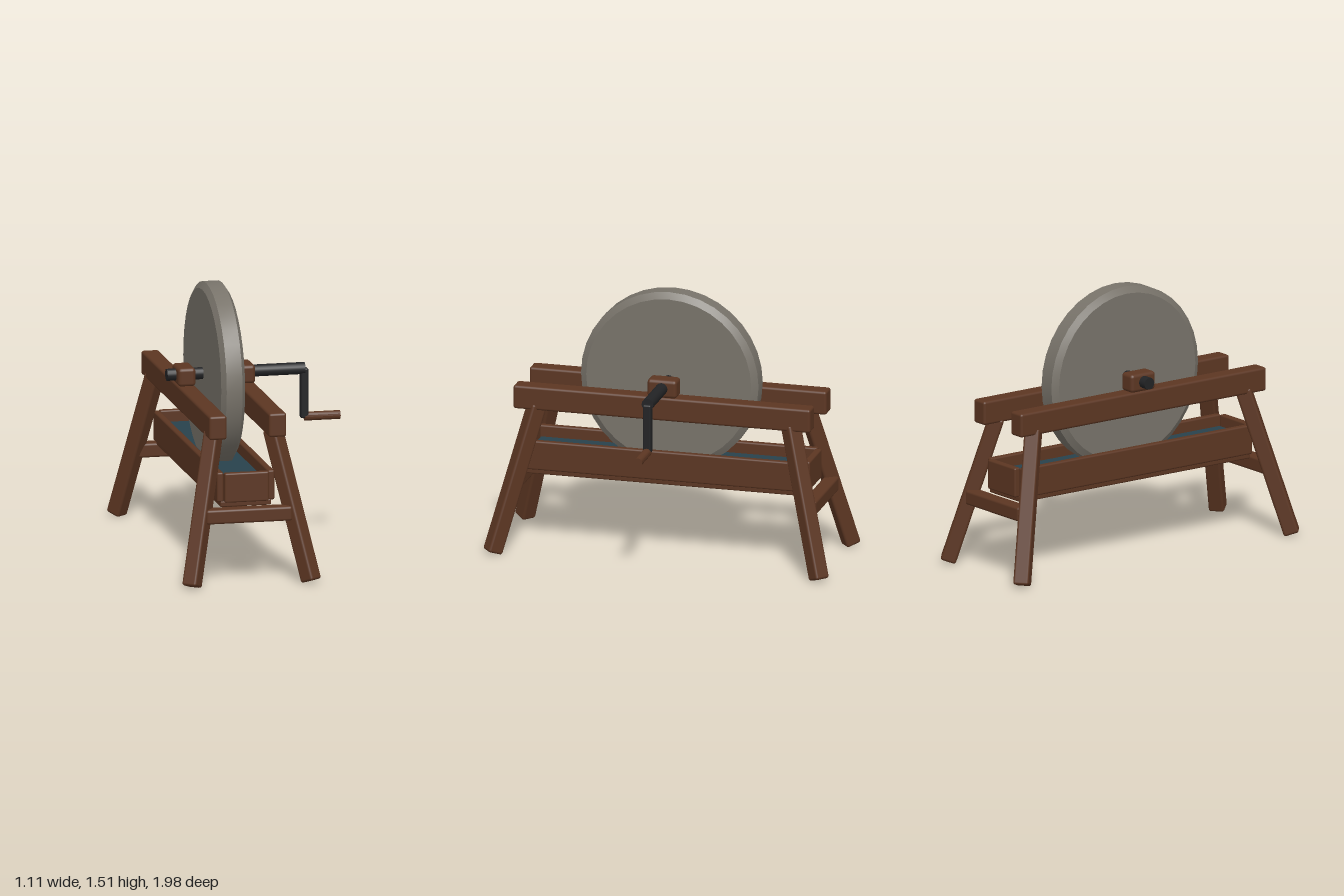
import * as THREE from 'three';
import { toCreasedNormals } from 'three/addons/utils/BufferGeometryUtils.js';
import { RoundedBoxGeometry } from 'three/addons/geometries/RoundedBoxGeometry.js';

const CX = -0.16; // centre line of the frame
const AXLE_Y = 1.007;

export function createModel() {
  const group = new THREE.Group();
  const material = (name, color) => {
    const m = new THREE.MeshStandardMaterial({ color });
    m.name = name;
    return m;
  };
  const wood = material('wood', 0x5c3622);
  const stone = material('stone', 0x78736a);
  const iron = material('iron', 0x222325);
  const water = material('water', 0x28424c);

  const add = (name, geometry, mat, x, y, z) => {
    const mesh = new THREE.Mesh(geometry, mat);
    mesh.name = name;
    mesh.position.set(x, y, z);
    group.add(mesh);
    return mesh;
  };
  // Softly bevelled timber
  const beam = (name, w, h, d, x, y, z, r = 0.014) =>
    add(name, new RoundedBoxGeometry(w, h, d, 2, r), wood, x, y, z);
  // Round bar lying along x
  const bar = (name, mat, r, x0, x1, y) => {
    const mesh = add(name, toCreasedNormals(new THREE.CylinderGeometry(r, r, x1 - x0, 16), 0.6), mat, (x0 + x1) / 2, y, 0);
    mesh.rotation.z = Math.PI / 2;
    return mesh;
  };

  // Grindstone: bevelled disc turned about the axle
  const profile = [[0, -0.068], [0.475, -0.068], [0.511, -0.045], [0.511, 0.045], [0.475, 0.068], [0, 0.068]]
    .map(([r, h]) => new THREE.Vector2(r, h));
  const wheel = add('grindstone', toCreasedNormals(new THREE.LatheGeometry(profile, 36), 0.5), stone, -0.158, AXLE_Y, 0);
  wheel.rotation.z = Math.PI / 2;

  // Axle, crank arm and handle
  bar('axle', iron, 0.034, -0.43, 0.355, AXLE_Y);
  beam('crankArm', 0.044, 0.285, 0.048, 0.353, 0.867, 0, 0.01).material = iron;
  bar('crankHandle', wood, 0.025, 0.355, 0.557, 0.732);

  for (const sx of [-1, 1]) {
    // Top rail with its bearing block
    beam('topRail', 0.1, 0.135, 1.71, CX + sx * 0.17, 0.887, 0);
    beam('bearingBlock', 0.1, 0.105, 0.17, CX + sx * 0.17, 1.004, 0, 0.02);
    // Trough side
    beam('troughSide', 0.038, 0.168, 1.6, CX + sx * 0.145, 0.537, 0, 0.01);

    // Splayed legs, square to their own direction of lean
    for (const sz of [-1, 1]) {
      const top = new THREE.Vector3(CX + sx * 0.168, 0.842, sz * 0.73);
      const foot = new THREE.Vector3(CX + sx * 0.34, 0.014, sz * 0.94);
      const up = top.clone().sub(foot);
      const length = up.length();
      up.normalize();
      const side = new THREE.Vector3(up.z, 0, -up.x).normalize();
      const out = side.clone().cross(up);
      const mid = top.add(foot).multiplyScalar(0.5);
      const leg = beam('leg', 0.088, length, 0.088, mid.x, mid.y, mid.z);
      leg.quaternion.setFromRotationMatrix(new THREE.Matrix4().makeBasis(side, up, out));
    }
  }

  // Trough ends and the cross bars between the legs
  for (const sz of [-1, 1]) {
    beam('troughEnd', 0.252, 0.168, 0.04, CX, 0.537, sz * 0.808, 0.01);
    beam('crossBar', 0.49, 0.082, 0.082, CX, 0.39, sz * 0.855);
  }

  // Trough floor and the water in it
  beam('troughFloor', 0.29, 0.034, 1.6, CX, 0.441, 0, 0.008);
  add('water', new THREE.BoxGeometry(0.256, 0.1, 1.58), water, CX, 0.505, 0);

  return group;
}
